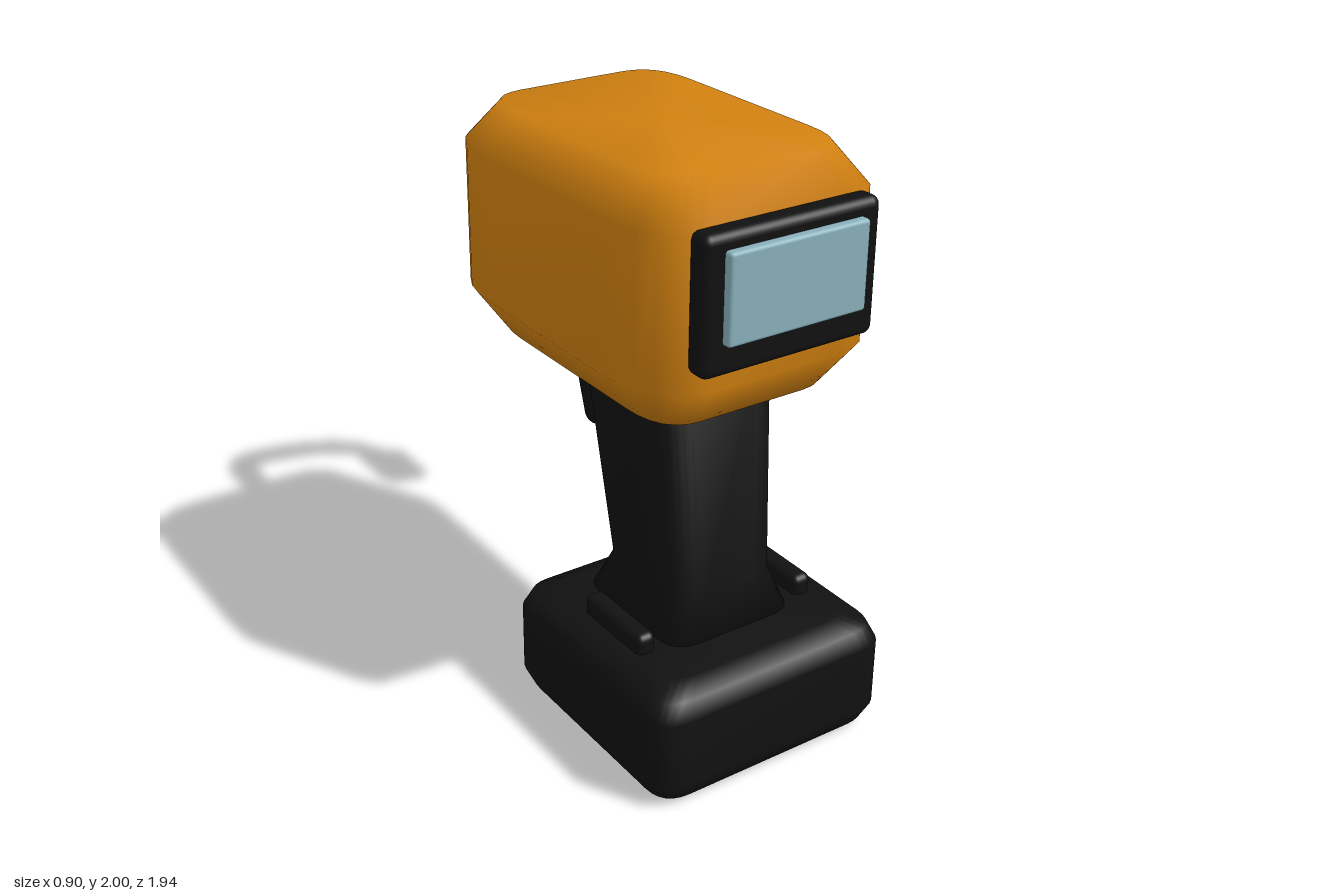
import * as THREE from 'three';
import { RoundedBoxGeometry } from 'three/addons/geometries/RoundedBoxGeometry.js';

const STEPS = 6; // segments per rounded corner

// Horizontal rounded rectangle, running from +x towards +z
function ring({ y, w, back, front, rx, rz }) {
  const pts = [];
  const cz = (back + front) / 2, d = (front - back) / 2;
  const corners = [[1, 1], [-1, 1], [-1, -1], [1, -1]];
  corners.forEach(([sx, sz], k) => {
    const side = new THREE.Vector2(sx * w, sz * (d - rz));
    const end = new THREE.Vector2(sx * (w - rx), sz * d);
    const tip = new THREE.Vector2(sx * w, sz * d);
    const curve = k % 2 === 0
      ? new THREE.QuadraticBezierCurve(side, tip, end)
      : new THREE.QuadraticBezierCurve(end, tip, side);
    for (const p of curve.getPoints(STEPS)) pts.push([p.x, y, p.y + cz]);
  });
  return pts;
}

// Smooth closed skin over a stack of sections, bottom to top
function loft(sections) {
  const rings = sections.map(ring);
  const n = rings[0].length;
  const positions = rings.flat(2);
  const index = [];
  for (let r = 0; r < rings.length - 1; r++) {
    for (let i = 0; i < n; i++) {
      const a = r * n + i, b = r * n + (i + 1) % n;
      index.push(a, a + n, b, b, a + n, b + n);
    }
  }
  const last = (rings.length - 1) * n, bottom = rings.length * n, top = bottom + 1;
  for (const s of [sections[0], sections[sections.length - 1]]) {
    positions.push(0, s.y, (s.back + s.front) / 2);
  }
  for (let i = 0; i < n; i++) {
    const j = (i + 1) % n;
    index.push(bottom, i, j, top, last + j, last + i);
  }
  const geo = new THREE.BufferGeometry();
  geo.setAttribute('position', new THREE.Float32BufferAttribute(positions, 3));
  geo.setIndex(index);
  geo.computeVertexNormals();
  return geo;
}

export function createModel() {
  const model = new THREE.Group();
  model.name = 'handheldTool';

  const mat = (name, color) => {
    const m = new THREE.MeshStandardMaterial({ color });
    m.name = name;
    return m;
  };
  const orange = mat('orange', 0xd08010);
  const black = mat('black', 0x111111);
  const glass = mat('paleBlue', 0x88b0bb);
  const brass = mat('brass', 0x725216);

  const add = (name, geometry, material, x = 0, y = 0, z = 0) => {
    const mesh = new THREE.Mesh(geometry, material);
    mesh.name = name;
    mesh.position.set(x, y, z);
    model.add(mesh);
    return mesh;
  };

  // Main housing with chamfered top and bottom
  const housing = (y, inset) => ({
    y, w: 0.435 - inset, back: -0.33 + inset, front: 0.88 - inset,
    rx: 0.2 - inset * 0.6, rz: 0.3 - inset,
  });
  add('housing', loft([
    housing(1.235, 0.105), housing(1.385, 0), housing(1.87, 0), housing(2, 0.105),
  ]), orange);

  // Leaning grip, flared at the foot
  const grip = (y, w, back, front) => ({ y, w, back, front, rx: 0.1, rz: 0.1 });
  add('grip', loft([
    grip(0.38, 0.255, 0.195, 0.745), grip(0.545, 0.2, 0.26, 0.69), grip(1.3, 0.226, 0.118, 0.625),
  ]), black);

  // Battery base with rounded edges
  const battery = (y, inset) => ({
    y, w: 0.45 - inset, back: 0.08 + inset, front: 0.965 - inset, rx: 0.1, rz: 0.1,
  });
  add('battery', loft([
    battery(0, 0.1), battery(0.025, 0.025), battery(0.085, 0),
    battery(0.325, 0), battery(0.385, 0.025), battery(0.41, 0.1),
  ]), black);

  // Battery release latches on both sides
  for (const side of [1, -1]) {
    add(side > 0 ? 'leftLatch' : 'rightLatch',
      new RoundedBoxGeometry(0.07, 0.12, 0.32, 3, 0.025), black, side * 0.315, 0.415, 0.53);
  }

  // Display
  add('screenFrame', new RoundedBoxGeometry(0.63, 0.435, 0.09, 3, 0.03), black, 0, 1.672, 0.895);
  add('screen', new RoundedBoxGeometry(0.5, 0.285, 0.05, 2, 0.012), glass, 0, 1.698, 0.945);

  // Trigger behind the grip
  const trigger = add('trigger', new RoundedBoxGeometry(0.28, 0.31, 0.125, 4, 0.05), black, 0, 1.055, 0.05);
  trigger.rotation.x = -0.32;

  // Curved cable and its plug
  const path = new THREE.CatmullRomCurve3([
    [0, 1.615, -0.25], [-0.015, 1.63, -0.42], [-0.02, 1.645, -0.6], [0, 1.61, -0.73],
    [0.1, 1.45, -0.85], [0.25, 1.25, -0.915], [0.31, 1.165, -0.885], [0.34, 1.135, -0.79],
  ].map((p) => new THREE.Vector3(...p)));
  add('cable', new THREE.TubeGeometry(path, 18, 0.055, 10), black);

  const plug = add('plug', new THREE.CylinderGeometry(0.088, 0.088, 0.2, 32), brass, 0.342, 1.134, -0.71);
  plug.rotation.x = Math.PI / 2;

  return model;
}
